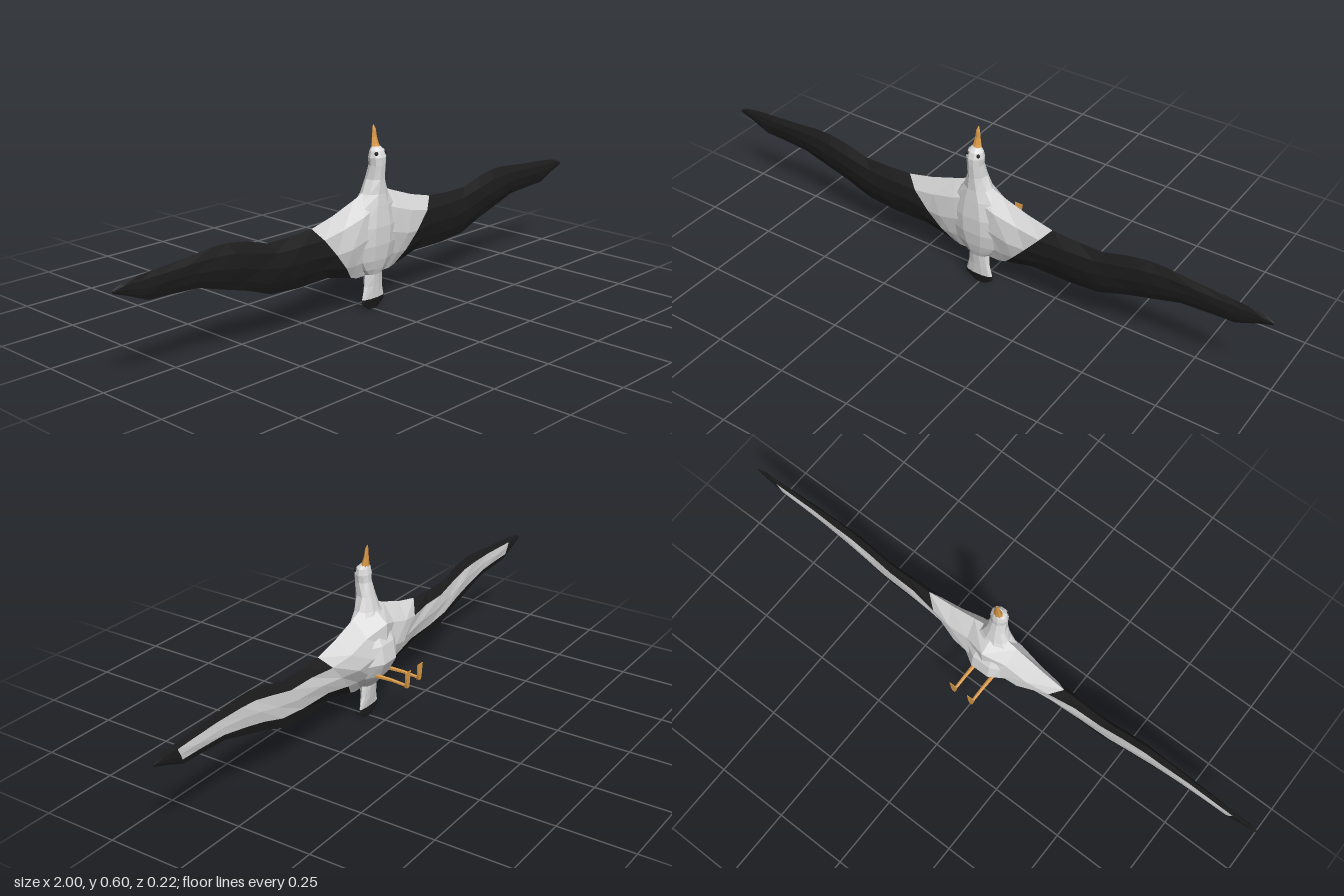
import * as THREE from 'three';

const mat = (name, color) => {
  const m = new THREE.MeshStandardMaterial({ color, flatShading: true, side: THREE.DoubleSide });
  m.name = name;
  return m;
};

// Skins a list of closed rings; pick(i, j) gives the material index of each quad.
function loft(name, rings, materials, pick = () => 0, flip = false) {
  const lists = materials.map(() => []);
  const n = rings[0].length;
  const tri = (k, a, b, c) => lists[k].push(...(flip ? [a, c, b] : [a, b, c]).flat());
  for (let i = 0; i < rings.length - 1; i++) {
    for (let j = 0; j < n; j++) {
      const a = rings[i][j], b = rings[i][(j + 1) % n];
      const c = rings[i + 1][j], d = rings[i + 1][(j + 1) % n];
      tri(pick(i, j), a, c, b);
      tri(pick(i, j), b, c, d);
    }
  }
  const first = rings[0], last = rings[rings.length - 1];
  for (let j = 1; j < n - 1; j++) {
    tri(pick(0, j), first[0], first[j], first[j + 1]);
    tri(pick(rings.length - 2, j), last[0], last[j + 1], last[j]);
  }
  const geo = new THREE.BufferGeometry();
  geo.setAttribute('position', new THREE.Float32BufferAttribute(lists.flat(), 3));
  let start = 0;
  lists.forEach((l, k) => {
    geo.addGroup(start, l.length / 3, k);
    start += l.length / 3;
  });
  geo.computeVertexNormals();
  const mesh = new THREE.Mesh(geo, materials);
  mesh.name = name;
  return mesh;
}

// Horizontal ring: half width w, reaching from z = back to z = belly around z = mid.
function ring(y, w, back, belly, mid = 0.065, x = 0, sides = 10) {
  return Array.from({ length: sides }, (_, j) => {
    const a = (j / sides) * Math.PI * 2, s = Math.sin(a);
    return [x + w * Math.cos(a), y, mid + s * (s > 0 ? back - mid : mid - belly)];
  });
}

// Wing stations: leading edge x, y, trailing edge x, y, height above and below the wing plane.
const STATIONS = [
  [0, 0.41, 0, 0.12, 0.042, 0.078],
  [0.085, 0.375, 0.045, 0.118, 0.038, 0.066],
  [0.18, 0.342, 0.075, 0.118, 0.032, 0.05],
  [0.27, 0.32, 0.1, 0.125, 0.027, 0.033],
  [0.36, 0.315, 0.2, 0.15, 0.023, 0.021],
  [0.45, 0.315, 0.33, 0.148, 0.021, 0.014],
  [0.53, 0.338, 0.44, 0.157, 0.02, 0.012],
  [0.6, 0.35, 0.53, 0.19, 0.018, 0.012],
  [0.66, 0.35, 0.61, 0.213, 0.016, 0.011],
  [0.76, 0.34, 0.71, 0.243, 0.012, 0.009],
  [0.86, 0.333, 0.82, 0.25, 0.009, 0.008],
  [0.92, 0.328, 0.885, 0.252, 0.007, 0.007],
  [0.97, 0.32, 0.95, 0.28, 0.005, 0.005],
  [1, 0.307, 1, 0.298, 0.002, 0.002],
];
// Section outline: chord fraction from the leading edge, height factor.
const SECTION = [[1, 0], [0.78, 0.6], [0.5, 1], [0.2, 0.85], [0, 0], [0.22, -0.85], [0.5, -1], [0.77, -0.6]];

function wingRings(side) {
  return STATIONS.map(([lx, ly, tx, ty, up, down], i) =>
    SECTION.map(([t, h], j) => {
      const ripple = h === 0 ? 0 : 0.12 * Math.sin(i * 2.3 + j * 1.7);
      const z = 0.065 + (h > 0 ? up : down) * h * (1 + ripple);
      return [side * (lx + (tx - lx) * t), ly + (ty - ly) * t, z];
    }));
}

function rod(name, from, to, r0, r1, material) {
  const a = new THREE.Vector3(...from), b = new THREE.Vector3(...to);
  const mesh = new THREE.Mesh(new THREE.CylinderGeometry(r1, r0, a.distanceTo(b), 6), material);
  mesh.position.copy(a).add(b).multiplyScalar(0.5);
  mesh.quaternion.setFromUnitVectors(new THREE.Vector3(0, 1, 0), b.sub(a).normalize());
  mesh.name = name;
  return mesh;
}

export function createModel() {
  const white = mat('white feathers', 0xdcdcdc);
  const black = mat('black feathers', 0x1d1d1d);
  const orange = mat('orange beak and legs', 0xdb9a47);
  const model = new THREE.Group();
  model.name = 'seabird';

  // Tail, torso, neck and head in one skin; the tail tip is black
  const body = [
    [0, 0.018, 0.067, 0.063], [0.022, 0.05, 0.072, 0.06], [0.038, 0.05, 0.077, 0.058],
    [0.08, 0.04, 0.081, 0.05], [0.12, 0.036, 0.086, 0.043], [0.14, 0.06, 0.093, 0.026],
    [0.17, 0.085, 0.101, 0], [0.22, 0.105, 0.109, -0.025], [0.28, 0.105, 0.112, -0.015],
    [0.345, 0.08, 0.109, 0.018], [0.385, 0.05, 0.106, 0.033], [0.43, 0.032, 0.107, 0.045],
    [0.475, 0.027, 0.11, 0.055, 0.08], [0.5, 0.03, 0.11, 0.056, 0.08],
    [0.52, 0.026, 0.102, 0.06, 0.08], [0.532, 0.015, 0.089, 0.064, 0.076],
  ].map((r) => ring(...r));
  model.add(loft('body', body, [white, black], (i) => (i < 2 ? 1 : 0)));

  // Hooked beak
  const beak = [
    [0.522, 0.018, 0.091, 0.062, 0.075], [0.54, 0.014, 0.082, 0.063, 0.072],
    [0.56, 0.01, 0.076, 0.064, 0.069], [0.583, 0.007, 0.073, 0.064, 0.068],
    [0.597, 0.002, 0.067, 0.064, 0.065],
  ].map((r) => ring(...r, 0, 8));
  model.add(loft('beak', beak, [orange]));

  for (const side of [1, -1]) {
    const label = side > 0 ? 'left' : 'right';

    // Wing: white root, black outer part, white panel underneath
    const pick = (i, j) => (i < 3 || (i < 11 && (j === 5 || j === 6)) ? 0 : 1);
    model.add(loft(label + 'Wing', wingRings(side), [white, black], pick, side < 0));

    // Eye
    const eye = new THREE.Mesh(new THREE.SphereGeometry(0.006, 8, 6), black);
    eye.position.set(side * 0.02, 0.513, 0.097);
    eye.name = label + 'Eye';
    model.add(eye);

    // Leg with knee and webbed foot
    const leg = new THREE.Group();
    leg.name = label + 'Leg';
    const x = side * 0.035;
    leg.add(rod('thigh', [x, 0.173, 0.03], [x, 0.175, -0.052], 0.008, 0.006, orange));
    leg.add(rod('shin', [x, 0.175, -0.048], [x, 0.17, -0.108], 0.006, 0.005, orange));
    const foot = [[0.165, 0.006, -0.1, -0.111], [0.18, 0.009, -0.104, -0.111], [0.221, 0.015, -0.109, -0.111]]
      .map(([y, w, a, b]) => [[x + w, y, b], [x + w, y, a], [x - w, y, a], [x - w, y, b]]);
    leg.add(loft('foot', foot, [orange]));
    model.add(leg);
  }
  return model;
}
